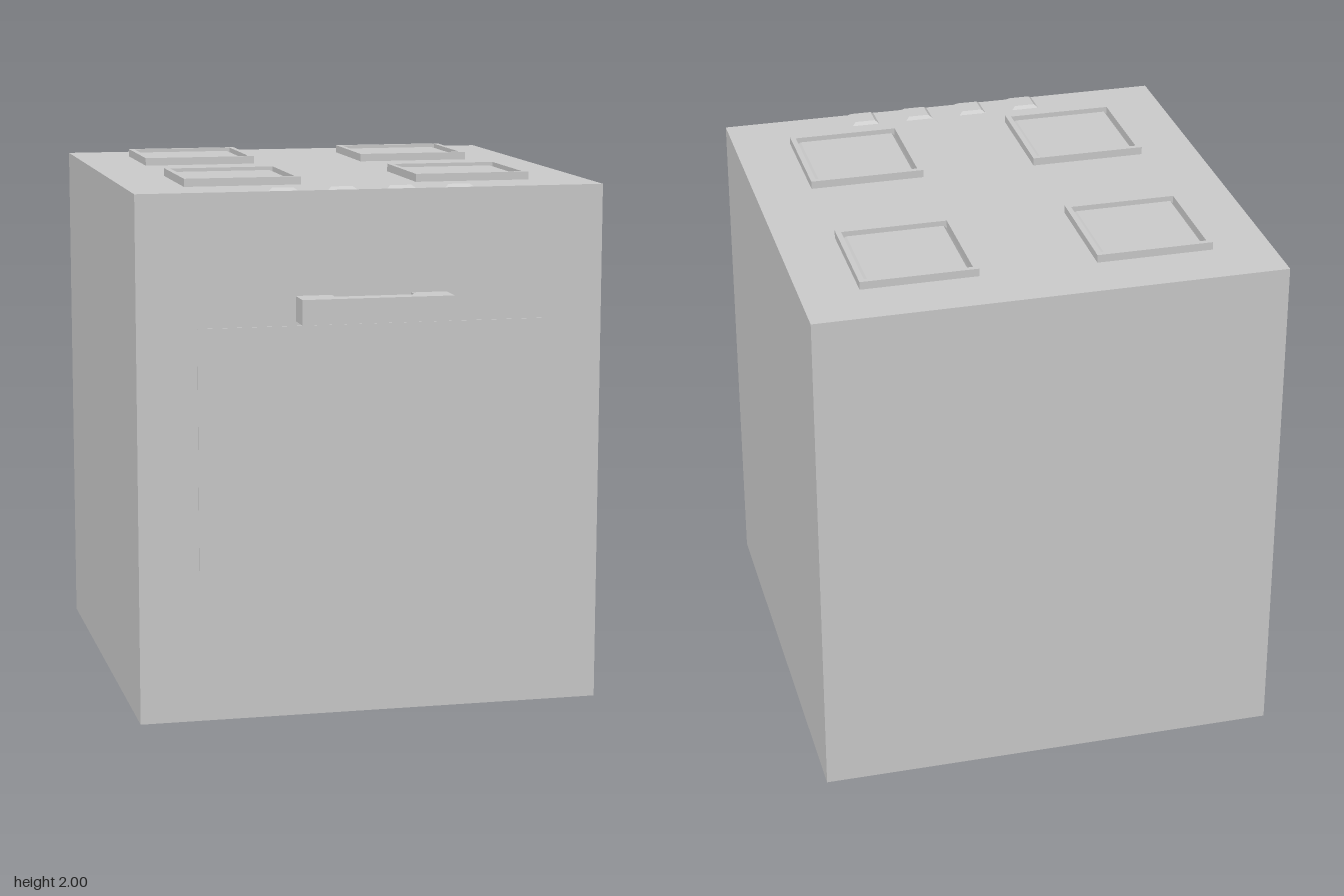
import * as THREE from 'three';

const material = new THREE.MeshStandardMaterial({ color: 0xcccccc, flatShading: true });

function add(parent, name, geometry, x, y, z) {
  const mesh = new THREE.Mesh(geometry, material);
  mesh.name = name;
  mesh.position.set(x, y, z);
  parent.add(mesh);
  return mesh;
}

function square(PathType, half) {
  const p = new PathType();
  p.moveTo(-half, -half);
  p.lineTo(half, -half);
  p.lineTo(half, half);
  p.lineTo(-half, half);
  p.closePath();
  return p;
}

// Box standing on y = 0 whose top is drawn in by an inset on every side
function taperedBox(w, h, d, inset) {
  const g = new THREE.BoxGeometry(w, h, d).translate(0, h / 2, 0);
  const p = g.attributes.position;
  for (let i = 0; i < p.count; i++) {
    if (p.getY(i) < h / 2) continue;
    p.setX(i, p.getX(i) - Math.sign(p.getX(i)) * inset);
    p.setZ(i, p.getZ(i) - Math.sign(p.getZ(i)) * inset);
  }
  g.computeVertexNormals();
  return g;
}

export function createModel() {
  const stove = new THREE.Group();
  stove.name = 'stove';

  // Cabinet and oven door panel
  add(stove, 'body', new THREE.BoxGeometry(1.76, 1.97, 1.77), 0, 0.985, -0.055);
  add(stove, 'ovenDoor', new THREE.BoxGeometry(1.31, 0.975, 0.01), 0, 0.9875, 0.829);

  // Door handle: a bar with a foot at each end
  const bar = new THREE.Shape();
  [[-0.285, 0], [-0.15, 0], [-0.15, 0.05], [0.15, 0.05],
    [0.15, 0], [0.285, 0], [0.285, 0.113], [-0.285, 0.113]]
    .forEach(([x, z], i) => (i ? bar.lineTo(x, z) : bar.moveTo(x, z)));
  const handle = new THREE.ExtrudeGeometry(bar, { depth: 0.093, bevelEnabled: false });
  handle.rotateX(Math.PI / 2);
  add(stove, 'handle', handle, -0.004, 1.585, 0.83);

  // Burners: a square rim around a plate with sloped edges
  const rimShape = square(THREE.Shape, 0.22);
  rimShape.holes.push(square(THREE.Path, 0.2));
  const rim = new THREE.ExtrudeGeometry(rimShape, { depth: 0.03, bevelEnabled: false });
  rim.rotateX(-Math.PI / 2);
  const plate = taperedBox(0.4, 0.018, 0.4, 0.016);
  for (const x of [-0.44, 0.44]) {
    for (const z of [-0.5, 0.385]) {
      const burner = new THREE.Group();
      burner.name = 'burner';
      burner.position.set(x, 1.97, z);
      add(burner, 'burnerRim', rim, 0, 0, 0);
      add(burner, 'burnerPlate', plate, 0, 0, 0);
      stove.add(burner);
    }
  }

  // Row of control knobs along the front edge
  const knob = taperedBox(0.108, 0.011, 0.113, 0.014);
  for (let i = 0; i < 4; i++) {
    add(stove, 'knob', knob, -0.334 + i * 0.221, 1.97, 0.772);
  }
  return stove;
}
